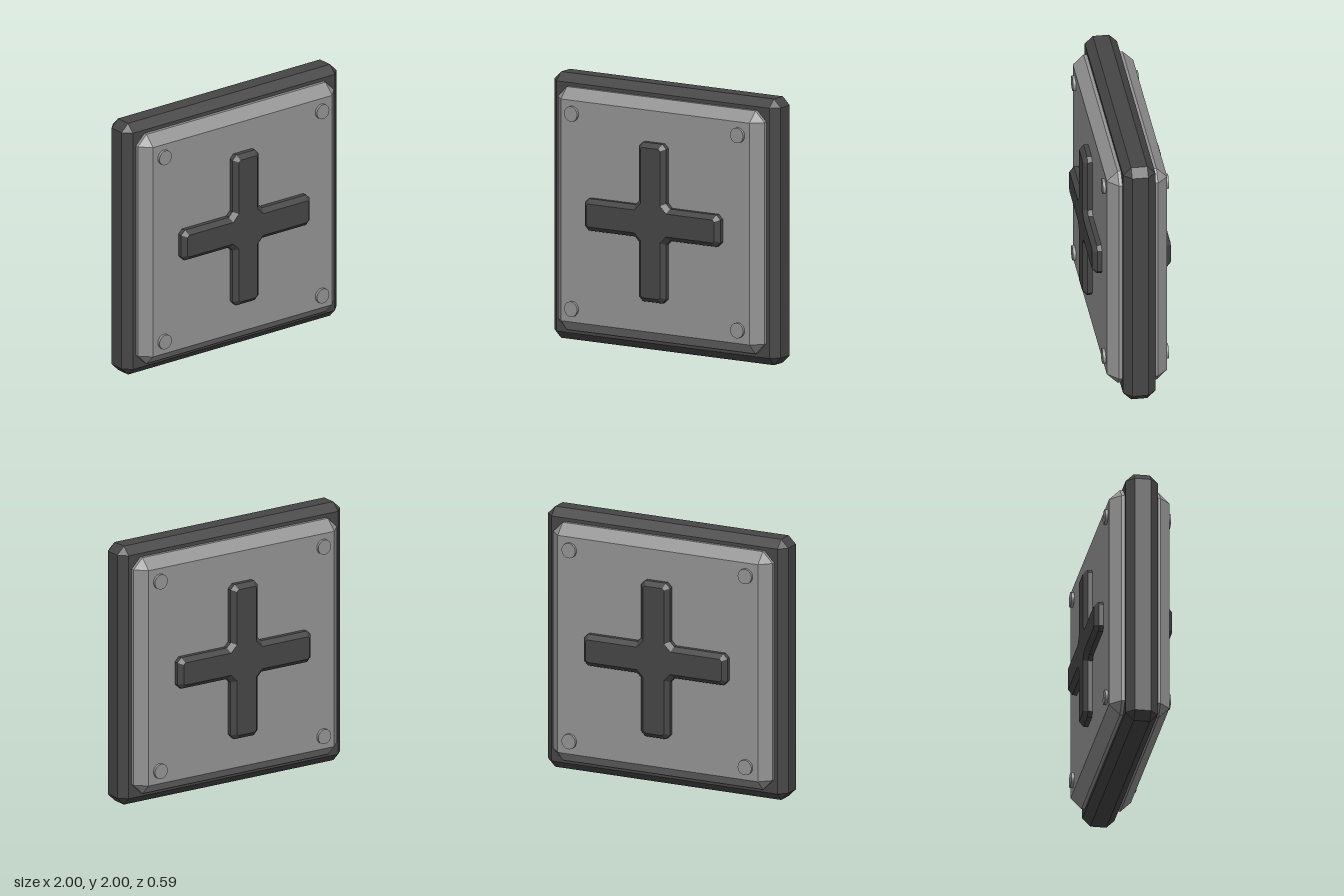
import * as THREE from 'three';
import { ConvexGeometry } from 'three/addons/geometries/ConvexGeometry.js';

// Box with every edge cut at 45 degrees; sizes are half extents
function chamferedBox(hx, hy, hz, c) {
  const points = [];
  for (const x of [-1, 1]) for (const y of [-1, 1]) for (const z of [-1, 1]) {
    points.push(
      new THREE.Vector3(x * hx, y * (hy - c), z * (hz - c)),
      new THREE.Vector3(x * (hx - c), y * hy, z * (hz - c)),
      new THREE.Vector3(x * (hx - c), y * (hy - c), z * hz));
  }
  return new ConvexGeometry(points);
}

// Bevelled plus shape: one arm's outline turned four times
function crossGeometry(length, width, depth, c) {
  const arm = [
    [length, -width + c], [length, width - c],
    [length - c, width], [width + c, width],
    [width, width + c], [width, length - c],
  ];
  const outline = [];
  for (let k = 0; k < 4; k++) {
    for (const [x, y] of arm.slice(1)) {
      outline.push(new THREE.Vector2(x, y).rotateAround(new THREE.Vector2(), k * Math.PI / 2));
    }
    // corner that opens the next arm's tip
    outline.push(new THREE.Vector2(width - c, length).rotateAround(new THREE.Vector2(), k * Math.PI / 2));
  }
  const geometry = new THREE.ExtrudeGeometry(new THREE.Shape(outline), {
    depth: 2 * (depth - c), bevelEnabled: true, bevelSegments: 1,
    bevelSize: c, bevelThickness: c, bevelOffset: -c,
  });
  geometry.translate(0, 0, -(depth - c));
  // drop the doubled corners where arms meet end to end
  return geometry;
}

export function createModel() {
  const model = new THREE.Group();
  model.name = 'crossPanel';
  const darkMetal = new THREE.MeshStandardMaterial({ color: 0x464646 });
  darkMetal.name = 'darkMetal';
  const greyMetal = new THREE.MeshStandardMaterial({ color: 0x949494 });
  greyMetal.name = 'greyMetal';

  function add(name, geometry, material, x = 0, y = 1, z = 0) {
    const mesh = new THREE.Mesh(geometry, material);
    mesh.name = name;
    mesh.position.set(x, y, z);
    model.add(mesh);
  }

  // Outer rim, raised plate and cross run through both faces
  add('frame', chamferedBox(1, 1, 0.12, 0.06), darkMetal);
  add('plate', chamferedBox(0.913, 0.913, 0.225, 0.08), greyMetal);
  add('cross', crossGeometry(0.598, 0.12, 0.293, 0.034), darkMetal);

  // Corner bolts on the front and back
  const bolt = new THREE.CylinderGeometry(0.057, 0.057, 0.06, 32);
  bolt.rotateX(Math.PI / 2);
  for (const x of [-1, 1]) for (const y of [-1, 1]) for (const z of [-1, 1]) {
    add('bolt', bolt, greyMetal, x * 0.733, 1 + y * 0.733, z * 0.216);
  }
  return model;
}
